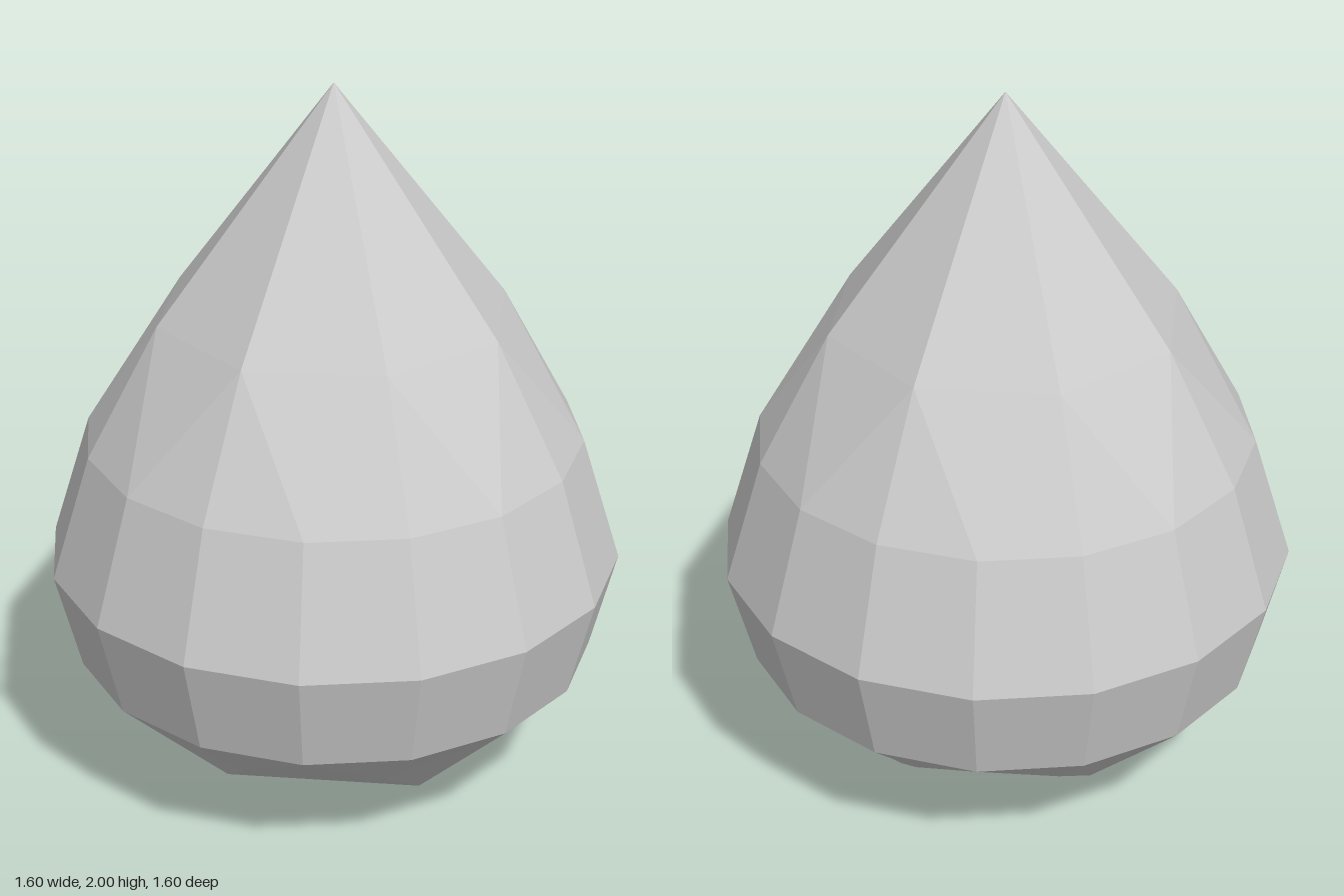
import * as THREE from 'three';

const N = 16;

// Point on a ring: index 0 faces the front (+z), index 4 is +x
function ringPoint(i, r, y) {
  const a = (i / N) * Math.PI * 2;
  return [r * Math.sin(a), y, r * Math.cos(a)];
}

function facetMesh(name, triangles) {
  const geometry = new THREE.BufferGeometry();
  geometry.setAttribute('position', new THREE.Float32BufferAttribute(triangles.flat(2), 3));
  geometry.computeVertexNormals();
  const material = new THREE.MeshStandardMaterial({
    color: 0xcccccc, flatShading: true, side: THREE.DoubleSide,
  });
  const mesh = new THREE.Mesh(geometry, material);
  mesh.name = name;
  return mesh;
}

export function createModel() {
  const tip = [0, 2, 0];
  const shoulder = (i) => ringPoint(i, 0.49, 1.37);
  const upper = (i) => ringPoint(i, 0.69, 1.01);
  const widest = (i) => ringPoint(i, 0.8, 0.66);
  const lower = (i) => ringPoint(i, 0.73, 0.38);
  const under = (i) => ringPoint(i, 0.52, 0.19);
  // Uneven rim of the base: raised front and back, dipped sides
  const rim = (i) => {
    const k = ((i % N) + N) % N;
    if (k % 4 === 2) return ringPoint(k, 0.385, 0.04);
    if (k === 4) return ringPoint(k, 0.355, 0.015);
    if (k === 12) return ringPoint(k, 0.335, 0);
    return ringPoint(k, 0.38, 0.12);
  };

  const cone = [], body = [], belly = [], base = [];

  // Two full bands of quads around the widest part
  for (let i = 0; i < N; i++) {
    for (const [lo, hi] of [[widest, upper], [lower, widest]]) {
      body.push([lo(i), lo(i + 1), hi(i + 1)], [lo(i), hi(i + 1), hi(i)]);
    }
  }

  for (let k = 0; k < N; k += 2) {
    const o = k + 1; // the eight-point rings sit on the odd directions
    // Pointed top and the band that narrows from 16 to 8 sides
    cone.push(
      [shoulder(k - 1), shoulder(o), tip],
      [upper(k), shoulder(o), shoulder(k - 1)],
      [upper(k), upper(o), shoulder(o)],
      [upper(o), upper(k + 2), shoulder(o)],
    );
    // Underside, with a ridge down each even direction
    belly.push(
      [lower(o), lower(k), under(o)],
      [lower(k + 2), lower(o), under(o)],
      [lower(k), rim(k), under(o)],
      [lower(k), under(k - 1), rim(k)],
      [rim(k), rim(k + 2), under(o)],
    );
  }

  // Base: a central square with a tilted flap on each side
  for (let k = 0; k < N; k += 4) base.push([rim(k - 2), rim(k + 2), rim(k)].reverse());
  base.push([rim(2), rim(14), rim(6)], [rim(14), rim(10), rim(6)]);

  const group = new THREE.Group();
  group.name = 'teardrop';
  group.add(
    facetMesh('pointedTop', cone),
    facetMesh('body', body),
    facetMesh('underside', belly.map(fixOutward)),
    facetMesh('base', base.map(fixDown)),
  );
  return group;
}

// Order the corners so that a facet faces along the given direction
function orient(tri, direction) {
  const [a, b, c] = tri.map((p) => new THREE.Vector3(...p));
  const normal = b.clone().sub(a).cross(c.clone().sub(a));
  return normal.dot(direction(a.add(b).add(c).divideScalar(3))) < 0 ? [tri[0], tri[2], tri[1]] : tri;
}
function fixOutward(tri) {
  return orient(tri, (m) => m.sub(new THREE.Vector3(0, 0.6, 0)));
}
function fixDown(tri) {
  return orient(tri, () => new THREE.Vector3(0, -1, 0));
}
